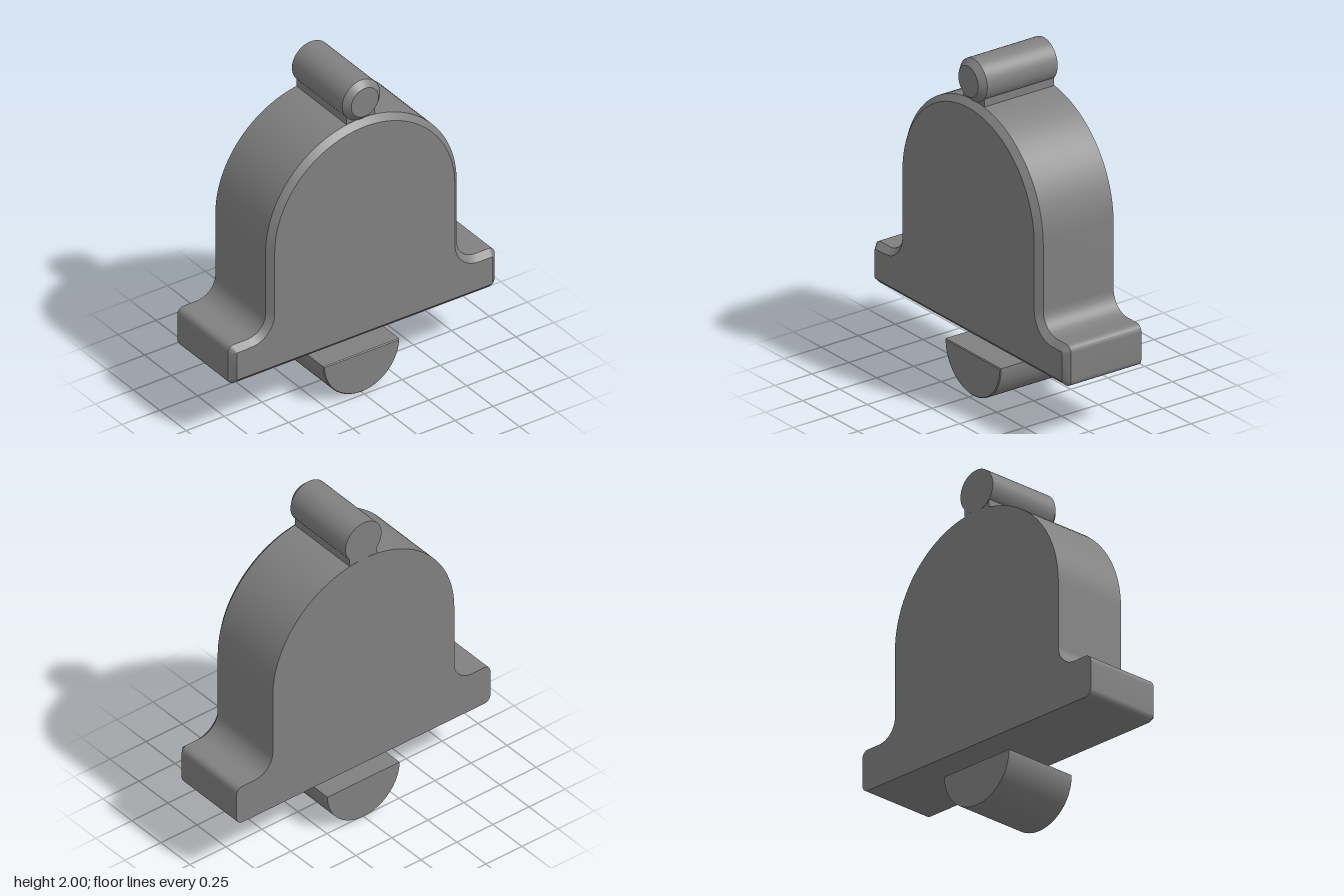
import * as THREE from 'three';
import { toCreasedNormals } from 'three/addons/utils/BufferGeometryUtils.js';

const BACK = -0.255;

// Solid with a flat back and a chamfered front edge, lofted from a counter-clockwise outline
function chamferedSolid(shape, front, chamfer) {
  const pts = shape.getPoints(24).filter((p, i, all) =>
    p.distanceTo(all[(i + 1) % all.length]) > 1e-4);
  const n = pts.length;
  // Mitred inset of the outline for the front face
  const inset = pts.map((p, i) => {
    const a = p.clone().sub(pts[(i + n - 1) % n]).normalize();
    const b = pts[(i + 1) % n].clone().sub(p).normalize();
    const m = new THREE.Vector2(-a.y - b.y, a.x + b.x);
    return p.clone().addScaledVector(m, chamfer / (1 + a.dot(b)));
  });
  const rings = [[pts, BACK], [pts, front - chamfer], [inset, front]];
  const pos = [];
  rings.forEach(([ring, z]) => ring.forEach((p) => pos.push(p.x, p.y, z)));
  const index = [];
  for (let r = 0; r < 2; r++) {
    for (let i = 0; i < n; i++) {
      const a = r * n + i, b = r * n + (i + 1) % n;
      index.push(a, b, b + n, a, b + n, a + n);
    }
  }
  for (const [a, b, c] of THREE.ShapeUtils.triangulateShape(pts, [])) {
    index.push(a, c, b, a + 2 * n, b + 2 * n, c + 2 * n);
  }
  const geo = new THREE.BufferGeometry();
  geo.setAttribute('position', new THREE.Float32BufferAttribute(pos, 3));
  geo.setIndex(index);
  return toCreasedNormals(geo, 0.5);
}

// Bell outline: rounded foot, flared fillets, straight sides and a round dome
function bellShape() {
  const w = 0.88, y0 = 0.365, y1 = 0.61, r = 0.04, side = 0.63, f = 0.125, dome = 1.125;
  const H = Math.PI / 2;
  const s = new THREE.Shape();
  s.moveTo(-w + r, y0);
  s.lineTo(w - r, y0);
  s.absarc(w - r, y0 + r, r, -H, 0, false);
  s.absarc(w - r, y1 - r, r, 0, H, false);
  s.absarc(side + f, y1 + f, f, -H, -2 * H, true);
  s.absarc(0, dome, side, 0, Math.PI, false);
  s.absarc(-side - f, y1 + f, f, 0, -H, true);
  s.absarc(-w + r, y1 - r, r, H, 2 * H, false);
  s.absarc(-w + r, y0 + r, r, 2 * H, 3 * H, false);
  return s;
}

export function createModel() {
  const group = new THREE.Group();
  const grey = new THREE.MeshStandardMaterial({ color: 0x808080 });
  grey.name = 'grey';

  const add = (name, geometry) => {
    const mesh = new THREE.Mesh(geometry, grey);
    mesh.name = name;
    group.add(mesh);
    return mesh;
  };

  add('bellBody', chamferedSolid(bellShape(), 0.255, 0.035));

  // Round knob on top
  const knob = new THREE.Shape();
  knob.absarc(0, 1.875, 0.125, 0, Math.PI * 2, false);
  add('topKnob', chamferedSolid(knob, 0.255, 0.035));

  // Short neck filling the gap between knob and dome
  const neck = add('neck', new THREE.BoxGeometry(0.19, 0.11, 0.47));
  neck.position.set(0, 1.755, -0.018);

  // Half-round clapper hanging below
  const clapper = new THREE.Shape();
  clapper.absarc(0, 0.25, 0.25, Math.PI, Math.PI * 2, false);
  clapper.closePath();
  add('clapper', chamferedSolid(clapper, 0.225, 0.005));

  return group;
}
